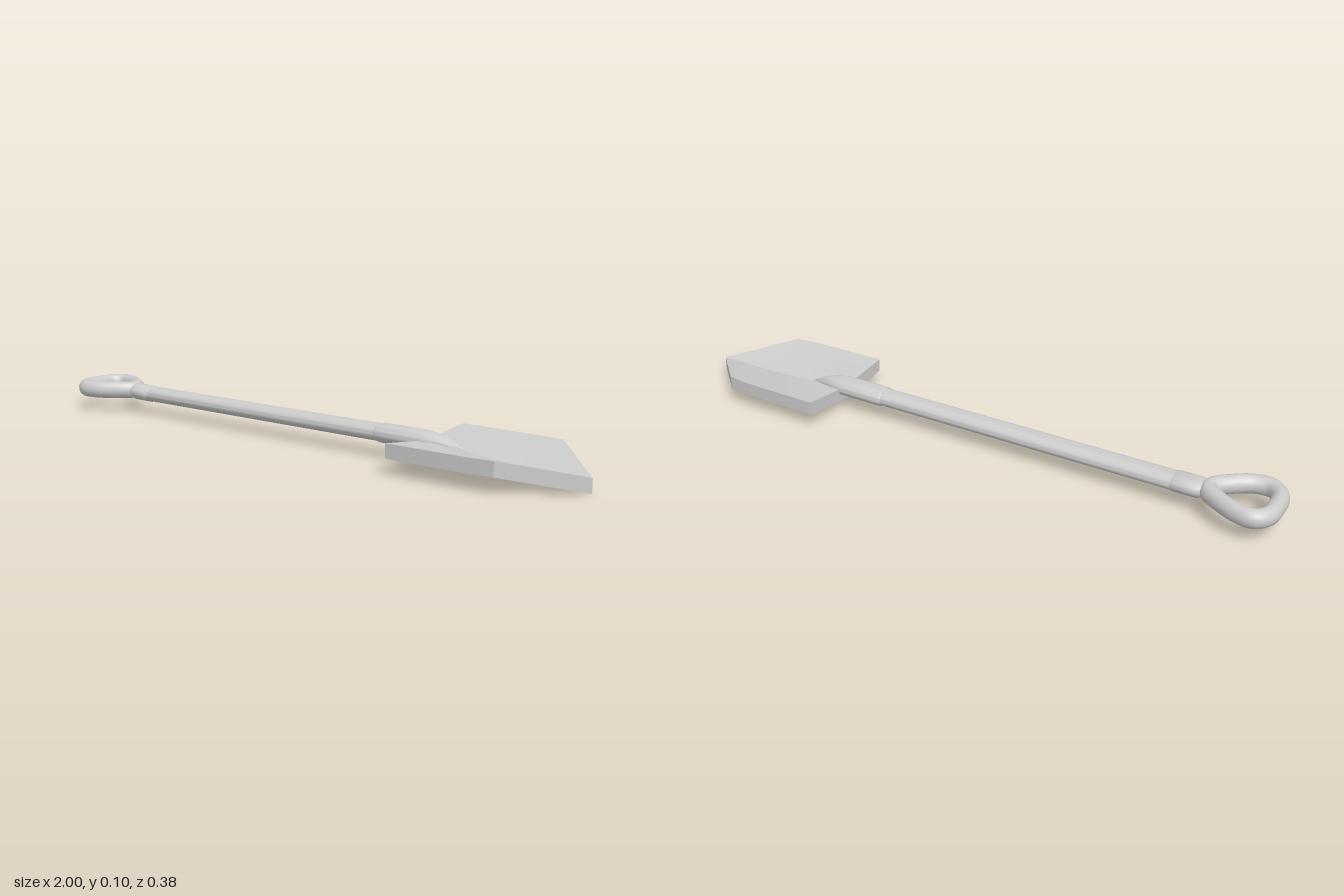
import * as THREE from 'three';
import { toCreasedNormals } from 'three/addons/utils/BufferGeometryUtils.js';

const material = new THREE.MeshStandardMaterial({ color: 0xcccccc });

// Joins closed rings of points into a capped solid; rings advance along +x
// and run from +z towards +y.
function loft(rings, crease) {
  const n = rings[0].length, index = [];
  for (let i = 0; i < rings.length - 1; i++) {
    for (let j = 0; j < n; j++) {
      const a = i * n + j, b = i * n + (j + 1) % n;
      index.push(a, a + n, b, b, a + n, b + n);
    }
  }
  const last = (rings.length - 1) * n;
  for (let j = 1; j < n - 1; j++) {
    index.push(0, j, j + 1, last, last + j + 1, last + j);
  }
  const geometry = new THREE.BufferGeometry();
  geometry.setAttribute('position', new THREE.Float32BufferAttribute(rings.flat(2), 3));
  geometry.setIndex(index);
  return toCreasedNormals(geometry, crease);
}

// Oval ring: position x, centre height y, half height, half width
function oval([x, y, ry, rz], sides = 28) {
  return Array.from({ length: sides }, (_, i) => {
    const t = (i / sides) * Math.PI * 2;
    return [x, y + Math.sin(t) * ry, Math.cos(t) * rz];
  });
}

// V-shaped blade section: half width, underside height at edge and at ridge
function bladeSection([x, w, edge, ridge]) {
  const thick = 0.043;
  return [
    [x, edge, w], [x, edge + thick, w], [x, ridge + thick, 0],
    [x, edge + thick, -w], [x, edge, -w], [x, ridge, 0],
  ];
}

export function createModel() {
  const group = new THREE.Group();
  const add = (name, geometry) => {
    const mesh = new THREE.Mesh(geometry, material);
    mesh.name = name;
    group.add(mesh);
    return mesh;
  };
  const pipe = (name, stations) => add(name, loft(stations.map((s) => oval(s)), 0.7));

  // Pointed, folded blade
  add('blade', loft([
    [0.475, 0.188, 0.047, 0.025],
    [0.735, 0.186, 0.047, 0.003],
    [0.815, 0.177, 0.047, 0.002],
    [1.0, 0, 0.001, 0.001],
  ].map(bladeSection), 0.3));

  // Wooden shaft
  pipe('shaft', [[-0.72, 0.07, 0.026, 0.038], [0.36, 0.07, 0.026, 0.038]]);

  // Socket, tapering down into the blade
  pipe('socket', [
    [0.315, 0.07, 0.027, 0.039],
    [0.325, 0.07, 0.029, 0.042],
    [0.475, 0.07, 0.029, 0.042],
    [0.52, 0.067, 0.027, 0.032],
    [0.56, 0.062, 0.021, 0.019],
    [0.605, 0.051, 0.01, 0.004],
  ]);

  // Collar joining the shaft to the grip
  pipe('collar', [
    [-0.8, 0.075, 0.02, 0.02],
    [-0.775, 0.073, 0.025, 0.033],
    [-0.755, 0.071, 0.028, 0.041],
    [-0.685, 0.07, 0.028, 0.041],
    [-0.68, 0.07, 0.026, 0.038],
  ]);

  // D-shaped grip
  const path = new THREE.CatmullRomCurve3([
    [-0.785, 0.012], [-0.83, 0.058], [-0.885, 0.092], [-0.935, 0.094],
    [-0.968, 0.06], [-0.976, 0], [-0.97, -0.055], [-0.94, -0.084],
    [-0.89, -0.078], [-0.83, -0.048], [-0.785, -0.012],
  ].map(([x, z]) => new THREE.Vector3(x, 0, z)), true);
  const grip = add('grip', new THREE.TubeGeometry(path, 72, 0.026, 14, true));
  grip.scale.y = 1.12;
  grip.position.y = 0.075;

  return group;
}
